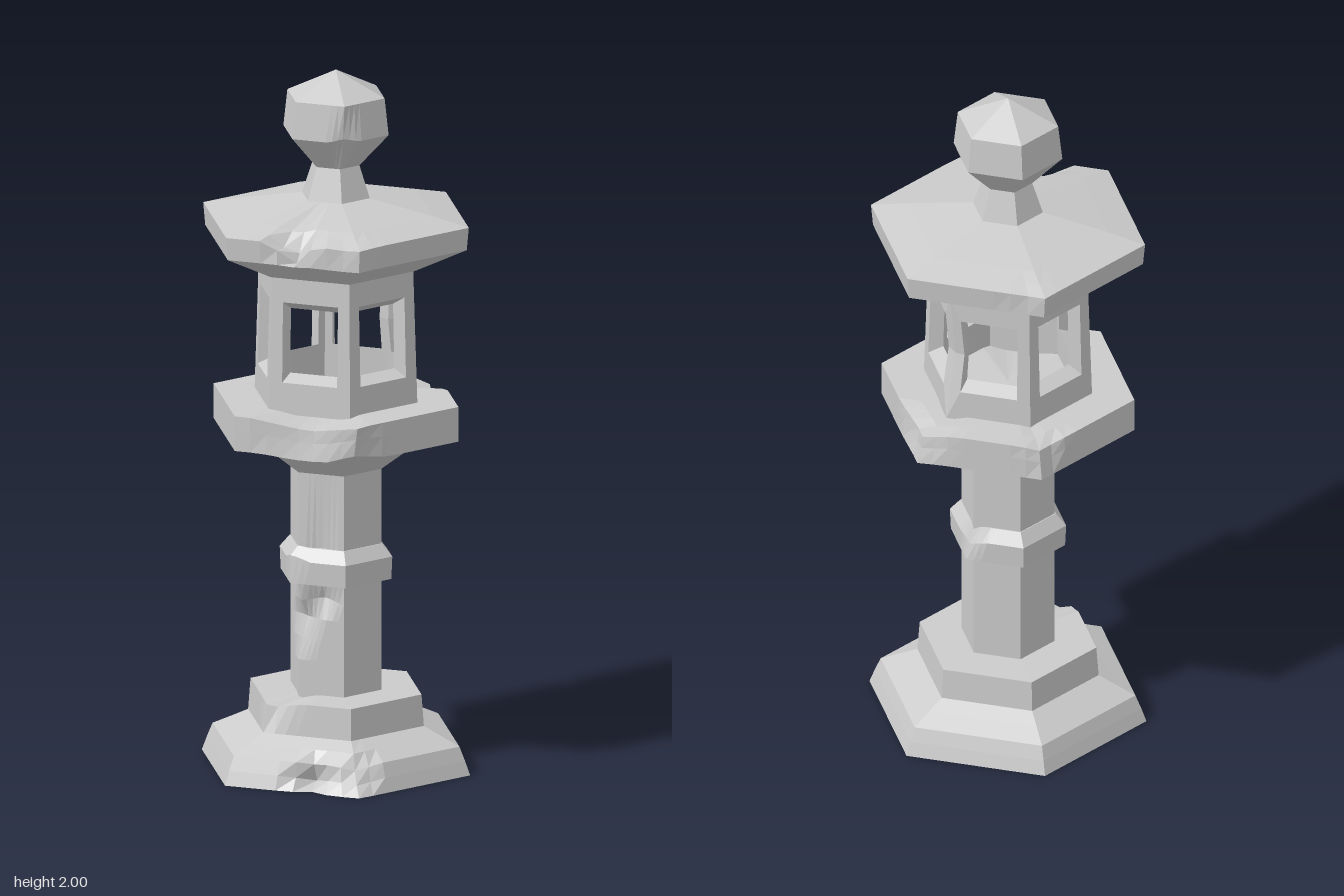
import * as THREE from 'three';

const SUB = 8; // points along each hexagon edge
const material = new THREE.MeshStandardMaterial({ color: 0xcccccc, flatShading: true });

// Move points near each chip, fading with distance. A chip is [position, radius, move].
function wear(p, chips) {
  const out = p.clone();
  for (const [at, r, move] of chips) {
    const f = 1 - p.distanceTo(new THREE.Vector3(...at)) / r;
    if (f > 0) out.addScaledVector(new THREE.Vector3(...move), f);
  }
  out.y = Math.max(0, out.y);
  return out;
}

// Skin a list of closed rings that have equal point counts.
function loft(name, rings) {
  const n = rings[0].length, pos = [];
  const tri = (a, b, c) => {
    const area = b.clone().sub(a).cross(c.clone().sub(a)).length();
    if (area > 1e-9) for (const v of [a, b, c]) pos.push(v.x, v.y, v.z);
  };
  for (let i = 0; i + 1 < rings.length; i++) {
    for (let j = 0; j < n; j++) {
      const k = (j + 1) % n, a = rings[i], b = rings[i + 1];
      tri(a[j], a[k], b[k]);
      tri(a[j], b[k], b[j]);
    }
  }
  const g = new THREE.BufferGeometry();
  g.setAttribute('position', new THREE.Float32BufferAttribute(pos, 3));
  g.computeVertexNormals();
  const mesh = new THREE.Mesh(g, material);
  mesh.name = name;
  return mesh;
}

// Hexagon with corners on the x axis and a flat side facing the front.
function hexRing(r, y) {
  const corner = k => {
    const t = Math.PI / 6 + k * Math.PI / 3;
    return new THREE.Vector3(Math.sin(t) * r, y, Math.cos(t) * r);
  };
  const pts = [];
  for (let k = 0; k < 6; k++)
    for (let s = 0; s < SUB; s++) pts.push(corner(k).lerp(corner(k + 1), s / SUB));
  return pts;
}

// Stacked hexagons from a profile of [radius, height].
const hexPart = (name, profile, chips = []) =>
  loft(name, profile.map(([r, y]) => hexRing(r, y).map(p => wear(p, chips))));

// One mitred chamber wall with a splayed window, turned to side k.
function chamberWall(k, chips) {
  const y0 = 1.05, y1 = 1.45;
  const frame = (half, bottom, top, depth) => {
    const mid = (bottom + top) / 2;
    return [[-1, bottom], [1, bottom], [1, mid], [1, top], [-1, top], [-1, mid]].map(([s, y]) => {
      const r = 0.243 - 0.013 * (y - y0) / (y1 - y0);
      const w = half ?? r / 2 - depth * Math.tan(Math.PI / 6);
      const p = new THREE.Vector3(s * w, y, r * Math.cos(Math.PI / 6) - depth);
      return wear(p.applyAxisAngle(new THREE.Vector3(0, 1, 0), k * Math.PI / 3), chips);
    });
  };
  return loft('chamberWall', [
    frame(null, y0, y1, 0),
    frame(0.082, 1.14, 1.37, 0),
    frame(0.073, 1.16, 1.345, 0.04),
    frame(null, y0, y1, 0.04),
  ]);
}

export function createModel() {
  const model = new THREE.Group();
  model.name = 'stoneLantern';

  // Stepped foot with a broken front edge
  model.add(hexPart('base', [
    [0, 0], [0.4, 0], [0.385, 0.04], [0.368, 0.08], [0.31, 0.107], [0.262, 0.13], [0.255, 0.22], [0, 0.225],
  ], [
    [[0.05, 0.04, 0.33], 0.07, [0, -0.02, -0.06]],
    [[0.19, 0.07, 0.32], 0.08, [-0.02, -0.02, -0.03]],
    [[-0.1, 0.22, 0.22], 0.08, [0, -0.02, -0.02]],
  ]));

  // Shaft with a diagonal gouge on the front
  model.add(hexPart('post', [
    [0.135, 0.21], [0.135, 0.32], [0.135, 0.38], [0.135, 0.44], [0.135, 0.49], [0.135, 0.54], [0.135, 0.87],
  ], [
    [[-0.07, 0.43, 0.117], 0.08, [0.02, 0, -0.035]],
    [[0, 0.5, 0.117], 0.06, [0, 0.01, -0.035]],
  ]));

  // Band around the shaft
  model.add(hexPart('collar', [
    [0.13, 0.545], [0.165, 0.545], [0.168, 0.61], [0.138, 0.645], [0.12, 0.645],
  ], [
    [[0.09, 0.61, -0.146], 0.07, [-0.01, -0.02, 0.015]],
    [[-0.08, 0.61, 0.145], 0.06, [0, 0.015, -0.01]],
  ]));

  // Flared support below the platform
  model.add(hexPart('bracket', [
    [0, 0.86], [0.135, 0.86], [0.2, 0.91], [0.27, 0.96], [0, 0.96],
  ]));

  // Platform with chipped edges
  model.add(hexPart('platform', [
    [0, 0.96], [0.365, 0.96], [0.365, 1.02], [0.365, 1.06], [0.3, 1.061], [0, 1.062],
  ], [
    [[0.03, 1.06, 0.316], 0.17, [0, -0.03, -0.025]],
    [[0.19, 0.96, 0.316], 0.1, [-0.015, 0.015, -0.015]],
    [[0.2, 1.06, -0.29], 0.13, [-0.02, -0.035, 0.025]],
    [[-0.2, 1.06, -0.3], 0.08, [0.015, -0.02, 0.02]],
  ]));

  // Open light chamber
  const chamber = new THREE.Group();
  chamber.name = 'lightChamber';
  const postChip = [[[0.12, 1.25, -0.206], 0.08, [-0.015, 0, 0.026]]];
  for (let k = 0; k < 6; k++) chamber.add(chamberWall(k, postChip));
  model.add(chamber);

  // Roof with a notch broken out of the front eave
  model.add(hexPart('roof', [
    [0, 1.44], [0.235, 1.44], [0.39, 1.515], [0.396, 1.58], [0.345, 1.591], [0.29, 1.603], [0.1, 1.638], [0, 1.64],
  ], [
    [[0, 1.58, 0.343], 0.07, [0, -0.05, -0.035]],
    [[-0.02, 1.591, 0.299], 0.07, [0, -0.045, 0]],
    [[0.15, 1.58, 0.343], 0.1, [0, -0.008, -0.012]],
    [[-0.15, 1.58, -0.343], 0.08, [0, -0.006, 0.01]],
  ]));

  // Finial neck and faceted jewel
  model.add(hexPart('finialNeck', [[0.105, 1.625], [0.07, 1.73], [0, 1.73]]));
  model.add(hexPart('finial', [
    [0, 1.73], [0.07, 1.73], [0.157, 1.825], [0.145, 1.93], [0, 2],
  ], [[[0.08, 1.825, 0.135], 0.05, [-0.012, 0.01, -0.016]]]));

  return model;
}
